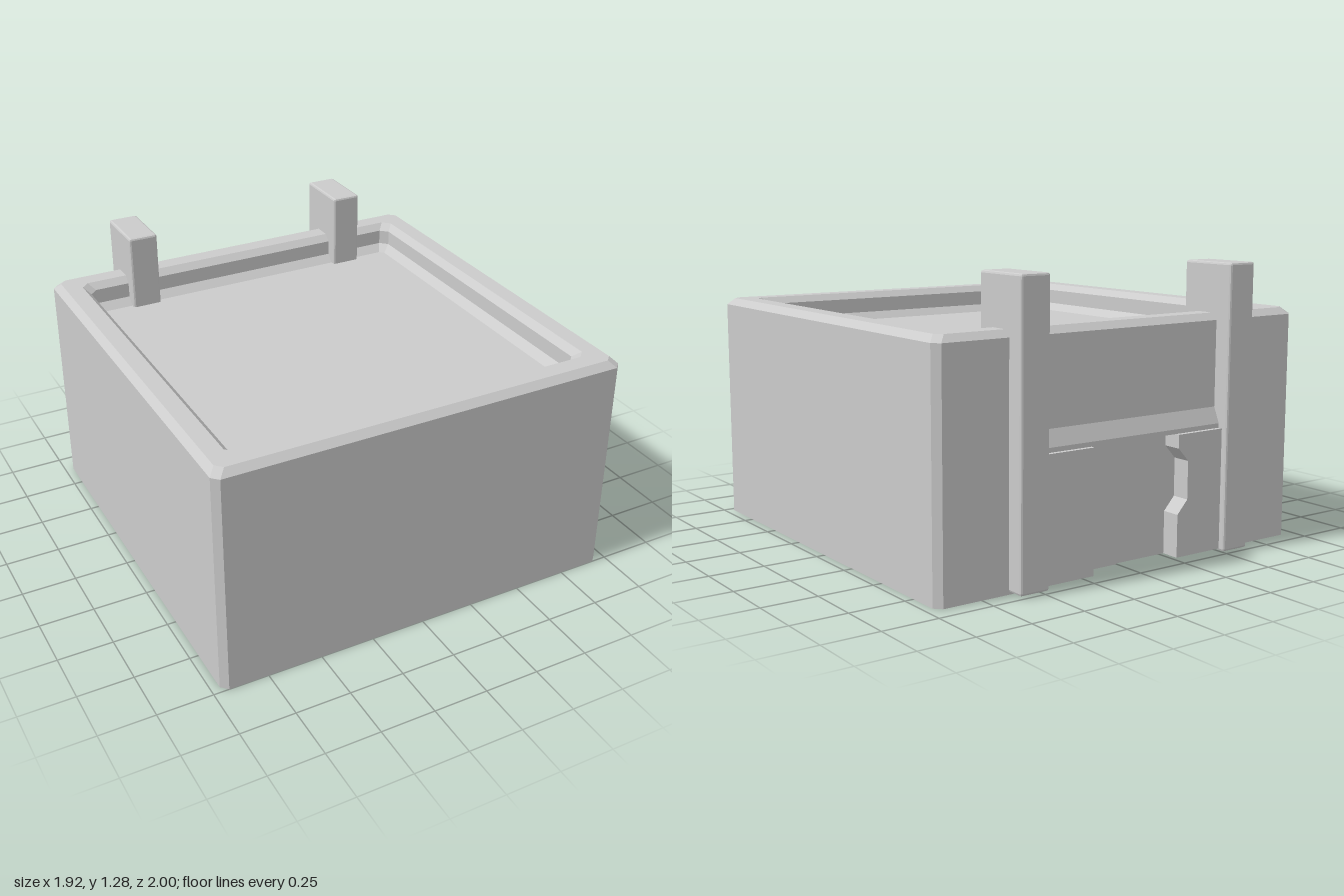
import * as THREE from 'three';
import { RoundedBoxGeometry } from 'three/addons/geometries/RoundedBoxGeometry.js';

const mat = new THREE.MeshStandardMaterial({ color: 0xcccccc, flatShading: true, side: THREE.DoubleSide });
const CZ = 0.04;     // centre of the square body in z
const HALF = 0.96;   // half width of the body
const BACK = CZ - HALF;

function part(name, geometry) {
  const mesh = new THREE.Mesh(geometry, mat);
  mesh.name = name;
  return mesh;
}

function polygon(points) {
  return new THREE.Shape(points.map(([x, y]) => new THREE.Vector2(x, y)));
}

// Square ring with cut corners; starts on the back edge, going round
function ring(inset, y, cut) {
  const h = HALF - inset, k = h - cut;
  return [[-k, -h], [k, -h], [h, -k], [h, k], [k, h], [-k, h], [-h, k], [-h, -k]]
    .map(([x, z]) => new THREE.Vector3(x, y, z + CZ));
}

// Open-bottomed shell: walls, bevelled rim, sunken tray
function shellGeometry() {
  const loops = [
    [0, 0, 0.03], [0, 1.03, 0.03], [0.03, 1.06, 0.03], [0.11, 1.06, 0.035],
    [0.14, 1.03, 0.035], [0.14, 0.96, 0.035], [0.175, 0.925, 0.02],
  ].map((l) => ring(...l));
  const pos = [];
  const tri = (...pts) => pts.forEach((p) => pos.push(p.x, p.y, p.z));
  for (let i = 0; i < loops.length - 1; i++) {
    for (let j = 0; j < 8; j++) {
      if (i === 0 && j === 0) continue; // the back wall is separate
      const n = (j + 1) % 8;
      const a = loops[i][j], b = loops[i][n], c = loops[i + 1][n], d = loops[i + 1][j];
      tri(a, c, b);
      tri(a, d, c);
    }
  }
  const floor = loops[loops.length - 1];
  for (let j = 1; j < 7; j++) tri(floor[0], floor[j + 1], floor[j]);
  const g = new THREE.BufferGeometry();
  g.setAttribute('position', new THREE.Float32BufferAttribute(pos, 3));
  g.computeVertexNormals();
  return g;
}

export function createModel() {
  const model = new THREE.Group();
  model.name = 'openTopContainer';

  model.add(part('shell', shellGeometry()));

  // Back wall with a notch for the doorway
  const wall = new THREE.ShapeGeometry(polygon([
    [-0.93, 0], [-0.5, 0], [-0.5, 0.56], [0.5, 0.56], [0.5, 0], [0.93, 0], [0.93, 1.03], [-0.93, 1.03],
  ]));
  wall.rotateY(Math.PI).translate(0, 0, BACK);
  model.add(part('backWall', wall));

  // Sloped lintel between the posts; profile drawn in (z, y)
  const lintel = new THREE.ExtrudeGeometry(polygon([
    [0.88, 0.56], [0.95, 0.56], [0.95, 0.58], [0.92, 0.65], [0.88, 0.65],
  ]), { depth: 1, bevelEnabled: false });
  lintel.rotateY(Math.PI / 2).translate(-0.5, 0, 0);
  model.add(part('lintel', lintel));

  // Two door leaves meeting at a stepped seam
  const seam = [[-0.107, 0.56], [-0.107, 0.43], [0.046, 0.29], [0.046, 0.02]];
  for (const side of [1, -1]) {
    const outer = side * 0.5;
    const leaf = new THREE.ExtrudeGeometry(
      polygon([...seam, [outer, 0.02], [outer, 0.56]]),
      { depth: 0.02, bevelEnabled: false });
    leaf.translate(0, 0, side > 0 ? -0.895 : -0.885);
    model.add(part(side > 0 ? 'leftDoorLeaf' : 'rightDoorLeaf', leaf));
  }

  for (const side of [1, -1]) {
    const prefix = side > 0 ? 'left' : 'right';

    // Tall post running through the wall and over the rim
    const post = part(prefix + 'Post', new RoundedBoxGeometry(0.14, 1.27, 0.28, 1, 0.01));
    post.position.set(side * 0.55, 0.645, -0.86);
    model.add(post);

    // Door frame panel with a jogged inner edge
    const frame = new THREE.ExtrudeGeometry(polygon([
      [0.5, 0.56], [0.23, 0.56], [0.23, 0.5], [0.285, 0.44],
      [0.285, 0.27], [0.23, 0.21], [0.23, 0.02], [0.5, 0.02],
    ].map(([x, y]) => [x * side, y])), { depth: 0.09, bevelEnabled: false });
    frame.translate(0, 0, -0.97);
    model.add(part(prefix + 'DoorFrame', frame));
  }
  return model;
}
